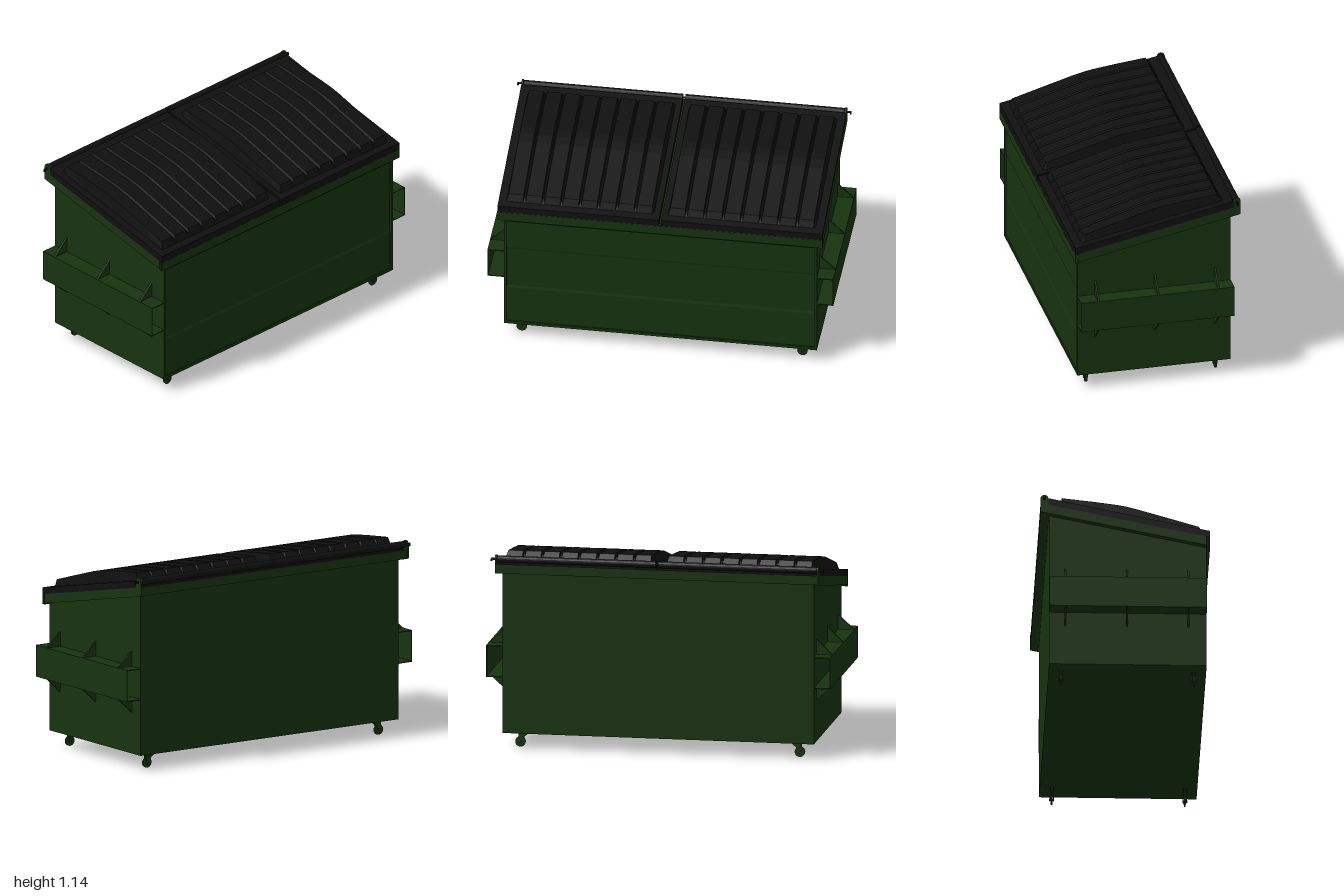
import * as THREE from 'three';

const green = new THREE.MeshStandardMaterial({ color: 0x17330f, flatShading: true, side: THREE.DoubleSide });
const black = new THREE.MeshStandardMaterial({ color: 0x0f0f0f, flatShading: true, side: THREE.DoubleSide });

// Height of the sloping rim top at depth z
const rimTop = (z) => 0.885 + (0.485 - z) * 0.208;
const lidBase = (z) => rimTop(z) + 0.04;

export function createModel() {
  const model = new THREE.Group();

  const add = (name, geometry, material, x = 0, y = 0, z = 0) => {
    const mesh = new THREE.Mesh(geometry, material);
    mesh.name = name;
    mesh.position.set(x, y, z);
    model.add(mesh);
    return mesh;
  };
  const toShape = (pts) => new THREE.Shape(pts.map(([a, b]) => new THREE.Vector2(a, b)));
  // Extrude an (x, y) outline along z, centred
  const slab = (shape, depth) =>
    new THREE.ExtrudeGeometry(shape, { depth, bevelEnabled: false, curveSegments: 12 }).translate(0, 0, -depth / 2);
  // Extrude a (z, y) outline along x, centred
  const across = (shape, width) => slab(shape, width).rotateY(-Math.PI / 2);
  const box = (name, w, h, d, x, y, z, material = green) =>
    add(name, new THREE.BoxGeometry(w, h, d), material, x, y, z);

  // Bin body with a lightly creased front panel
  add('body', across(toShape([
    [-0.435, 0.09], [0.459, 0.09], [0.459, 0.34], [0.455, 0.355], [0.455, 0.61],
    [0.459, 0.625], [0.459, 0.87], [-0.435, 1.06],
  ]), 1.8), green);
  for (const s of [-1, 1]) {
    add('sideWall', across(toShape([
      [-0.435, 0.09], [0.467, 0.09], [0.467, 0.87], [-0.435, 1.06],
    ]), 0.015), green, s * 0.8975);
  }
  box('frontSill', 1.8, 0.018, 0.012, 0, 0.099, 0.461);
  box('frontHeader', 1.8, 0.03, 0.012, 0, 0.825, 0.461);

  // Sloping rim
  const z0 = -0.485, z1 = 0.466;
  add('rim', across(toShape([
    [z0, rimTop(z0) - 0.054], [z1, rimTop(z1) - 0.054], [z1, rimTop(z1)], [z0, rimTop(z0)],
  ]), 1.88), green);
  // Open-ended channel across the front of the rim
  box('frontRimFace', 1.88, 0.056, 0.003, 0, 0.856, 0.4845);
  for (const y of [0.83, 0.886]) box('frontRimFlange', 1.88, 0.003, 0.02, 0, y, 0.475);

  for (const s of [-1, 1]) {
    // Open-ended fork pocket
    for (const y of [0.417, 0.597]) box('pocketPlate', 0.097, 0.005, 0.902, s * 0.951, y, 0.016);
    box('pocketOuterWall', 0.004, 0.185, 0.902, s * 0.998, 0.507, 0.016);

    // Triangular gussets above and below the pocket
    for (const z of [0.362, 0.01, -0.343]) {
      for (const [y, tip] of [[0.599, 0.69], [0.415, 0.328]]) {
        add('gusset', slab(toShape([[s * 0.903, y], [s * 0.998, y], [s * 0.903, tip]]), 0.01), green, 0, 0, z);
      }
    }

    // Casters
    for (const z of [0.397, -0.365]) {
      const wheel = new THREE.CylinderGeometry(0.03, 0.03, 0.01, 20).rotateX(Math.PI / 2);
      add('casterWheel', wheel, green, s * 0.812, 0.03, z);
      const axle = new THREE.CylinderGeometry(0.007, 0.007, 0.028, 10).rotateX(Math.PI / 2);
      add('casterAxle', axle, green, s * 0.812, 0.03, z);
      const fork = toShape([
        [s * 0.75, 0.092], [s * 0.822, 0.092], [s * 0.824, 0.03],
        [s * 0.812, 0.02], [s * 0.8, 0.03], [s * 0.79, 0.058],
      ]);
      for (const dz of [-0.01, 0.01]) add('casterFork', slab(fork, 0.003), green, 0, 0, z + dz);
    }

    // Hinge lug with rounded top
    const lug = new THREE.Shape();
    lug.moveTo(-0.486, 1.035);
    lug.lineTo(-0.44, 1.035);
    lug.lineTo(-0.44, 1.115);
    lug.absarc(-0.463, 1.115, 0.023, 0, Math.PI, false);
    lug.closePath();
    add('hingeLug', across(lug, 0.01), green, s * 0.935);
    const bent = new THREE.CylinderGeometry(0.005, 0.005, 0.016, 8);
    add('hingeRodEnd', bent, black, s * 0.963, 1.107, -0.463);

    addLid(s);
  }

  // Hinge rod
  add('hingeRod', new THREE.CylinderGeometry(0.006, 0.006, 1.93, 10).rotateZ(Math.PI / 2), black, 0, 1.113, -0.463);

  // One half of the lid: flange, ribbed dome and hinge knuckle
  function addLid(s) {
    const front = 0.485, back = -0.445;
    add('lidFlange', across(toShape([
      [back, rimTop(back)], [front, rimTop(front)], [front, 0.925], [back, lidBase(back)],
    ]), 0.934), black, s * 0.473);
    const knuckle = new THREE.CylinderGeometry(0.02, 0.02, 0.92, 16).rotateZ(Math.PI / 2);
    add('lidKnuckle', knuckle, black, s * 0.467, 1.114, -0.463);

    // Dome crown along z: [z, height]
    const crown = [
      [-0.39, 0], [-0.36, 1.145], [-0.18, 1.125], [-0.05, 1.108], [0.0, 1.099],
      [0.06, 1.084], [0.24, 1.031], [0.424, 0.976], [0.443, 0],
    ];
    // Stations across the dome: [x, drop below crown], with V grooves between panels
    const half = 0.4275, stations = [[-half, 1], [-half + 0.012, 0]];
    for (let i = 1; i < 8; i++) {
      const x = -half + (i * 2 * half) / 8;
      stations.push([x - 0.01, 0], [x - 0.003, 0.015], [x + 0.003, 0.015], [x + 0.01, 0]);
    }
    stations.push([half - 0.012, 0], [half, 1]);

    const cols = stations.length;
    const dome = new THREE.PlaneGeometry(1, 1, cols - 1, crown.length - 1);
    const pos = dome.attributes.position;
    for (let k = 0; k < pos.count; k++) {
      const [x, drop] = stations[k % cols];
      const [z, h] = crown[Math.floor(k / cols)];
      pos.setXYZ(k, x, Math.max(lidBase(z) - 0.002, h - drop), z);
    }
    dome.computeVertexNormals();
    add('lidDome', dome, black, s * 0.4675);
  }

  return model;
}
